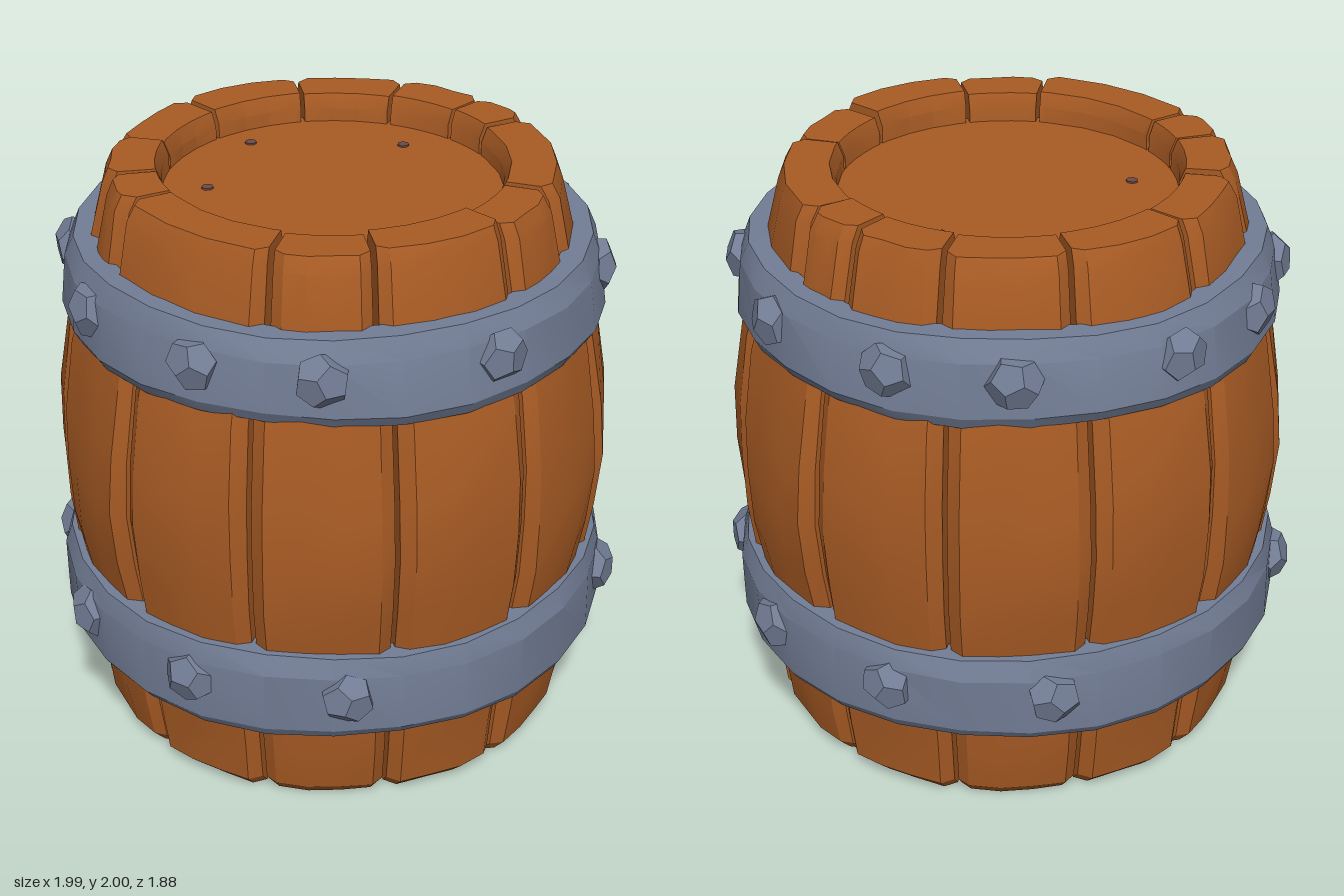
import * as THREE from 'three';
import { toCreasedNormals } from 'three/addons/utils/BufferGeometryUtils.js';

const wood = new THREE.MeshStandardMaterial({ color: 0xa85b24 });
wood.name = 'wood';
const iron = new THREE.MeshStandardMaterial({ color: 0x727d95 });
iron.name = 'iron';
const nailMetal = new THREE.MeshStandardMaterial({ color: 0x6b4a48 });
nailMetal.name = 'nail metal';

const rad = THREE.MathUtils.degToRad;

// Small hand-hewn unevenness, periodic around the barrel
const wobble = (a, y, amp) => amp * Math.sin(a * 17 + y * 9) * Math.cos(a * 11 - y * 13);

function addMesh(parent, name, geometry, material) {
  const mesh = new THREE.Mesh(geometry, material);
  mesh.name = name;
  parent.add(mesh);
  return mesh;
}

// One curved plank between two angles; rows are [outer radius, y, inner radius]
function staveGeometry(deg0, deg1, rows, gap) {
  const a0 = rad(deg0 + gap), a1 = rad(deg1 - gap);
  const edge = 0.045 / (a1 - a0) / 0.9;
  const across = [0, edge, 0.36, 0.64, 1 - edge, 1];
  const m = across.length, n = m * 2;
  const pos = [], idx = [];
  for (const [ro, y, ri] of rows) {
    const put = (t, inner) => {
      const a = a0 + (a1 - a0) * t;
      const bevel = t === 0 || t === 1 ? 0.03 : 0;
      const r = inner ? ri : ro - bevel + wobble(a, y, 0.009);
      const lift = y > 1.9 ? wobble(deg0, 1, 0.012) : 0;
      pos.push(Math.sin(a) * r, y + lift, Math.cos(a) * r);
    };
    across.forEach(t => put(t, false));
    [...across].reverse().forEach(t => put(t, true));
  }
  for (let j = 0; j < rows.length - 1; j++) {
    for (let i = 0; i < n; i++) {
      const a = j * n + i, b = j * n + (i + 1) % n;
      idx.push(a, b, b + n, a, b + n, a + n);
    }
  }
  // End grain at the bottom and top
  const top = (rows.length - 1) * n;
  for (let i = 0; i < m - 1; i++) {
    const o = i, p = i + 1, q = n - 2 - i, s = n - 1 - i;
    idx.push(top + o, top + p, top + q, top + o, top + q, top + s);
    idx.push(o, q, p, o, s, q);
  }
  const g = new THREE.BufferGeometry();
  g.setAttribute('position', new THREE.Float32BufferAttribute(pos, 3));
  g.setIndex(idx);
  return toCreasedNormals(g, 0.4);
}

// Iron band turned from a closed profile, then dented slightly
function hoopGeometry(profile) {
  const pts = [...profile, profile[0]].map(([r, y]) => new THREE.Vector2(r, y));
  const g = new THREE.LatheGeometry(pts, 26);
  const p = g.attributes.position;
  for (let i = 0; i < p.count; i++) {
    const x = p.getX(i), y = p.getY(i), z = p.getZ(i);
    const a = Math.atan2(x, z), k = 1 + wobble(a, y, 0.008);
    p.setXYZ(i, x * k, y + 0.006 * Math.sin(a * 5 + y * 8), z * k);
  }
  g.deleteAttribute('normal');
  g.deleteAttribute('uv');
  return toCreasedNormals(g, 0.35);
}

function addRivets(parent, name, angles, r, y) {
  const geo = new THREE.DodecahedronGeometry(0.092);
  angles.forEach((deg, i) => {
    const pivot = new THREE.Group();
    pivot.name = name;
    pivot.rotation.y = rad(deg);
    const rivet = addMesh(pivot, name + 'Head', geo, iron);
    rivet.position.set(0, y, r);
    rivet.scale.z = 0.68;
    rivet.rotation.z = i * 1.3;
    parent.add(pivot);
  });
}

export function createModel() {
  const barrel = new THREE.Group();
  barrel.name = 'barrel';

  // Long body staves
  const bodyRows = [
    [0.77, 0, 0.64], [0.812, 0.045, 0.62], [0.835, 0.2, 0.62], [0.852, 0.34, 0.62],
    [0.888, 0.62, 0.7], [0.918, 0.8, 0.7], [0.932, 1.0, 0.7], [0.922, 1.2, 0.7],
    [0.885, 1.45, 0.7], [0.84, 1.62, 0.7]
  ];
  for (let k = 0; k < 12; k++) {
    addMesh(barrel, 'bodyStave', staveGeometry(k * 30 - 15, k * 30 + 15, bodyRows, 0.5), wood);
  }

  // Uneven stave ends above the upper hoop
  const rimRows = [
    [0.825, 1.55, 0.56], [0.79, 1.76, 0.56], [0.75, 1.94, 0.56], [0.725, 1.99, 0.58]
  ];
  const half = [18, 43, 90, 107, 132, 163];
  const cuts = [...half.map(a => -a).reverse(), ...half, 197];
  for (let k = 0; k < cuts.length - 1; k++) {
    addMesh(barrel, 'rimStave', staveGeometry(cuts[k], cuts[k + 1], rimRows, 0.7), wood);
  }

  // Inner core closing the gaps, and the sunken lid
  addMesh(barrel, 'core', new THREE.CylinderGeometry(0.72, 0.72, 1.6, 24), wood).position.y = 0.92;
  addMesh(barrel, 'lid', new THREE.CylinderGeometry(0.6, 0.6, 0.16, 24), wood).position.y = 1.81;

  // Sunken base of two boards with a seam
  for (const s of [1, -1]) {
    const shape = new THREE.Shape();
    shape.absarc(0, 0, 0.64, -Math.PI / 2, Math.PI / 2, false);
    const g = new THREE.ExtrudeGeometry(shape, { depth: 0.06, bevelEnabled: false, curveSegments: 12 });
    g.rotateX(Math.PI / 2);
    if (s < 0) g.rotateY(Math.PI);
    const board = addMesh(barrel, 'baseBoard', g, wood);
    board.position.set(0.05 + s * 0.006, s > 0 ? 0.15 : 0.165, 0);
  }

  // Small nails in the lid
  for (const [x, z] of [[-0.37, -0.18], [0.37, -0.19], [-0.08, -0.45]]) {
    const nail = addMesh(barrel, 'lidNail', new THREE.CylinderGeometry(0.02, 0.02, 0.008, 7), nailMetal);
    nail.position.set(x, 1.892, z);
  }

  // Iron hoops
  addMesh(barrel, 'upperHoop', hoopGeometry([
    [0.8, 1.485], [0.88, 1.485], [0.902, 1.525], [0.882, 1.7], [0.85, 1.768], [0.77, 1.768]
  ]), iron);
  addMesh(barrel, 'lowerHoop', hoopGeometry([
    [0.82, 0.335], [0.915, 0.335], [0.938, 0.37], [0.942, 0.58], [0.92, 0.648], [0.84, 0.648]
  ]), iron);

  // Rivets, placed by angle from the front
  addRivets(barrel, 'upperRivet', [8, 57, 90, 123, 149, 185, 211, 236, 270, 303, 330], 0.878, 1.645);
  addRivets(barrel, 'lowerRivet', [53, 90, 123, 157, 233, 270, 302, 335], 0.935, 0.51);

  return barrel;
}
